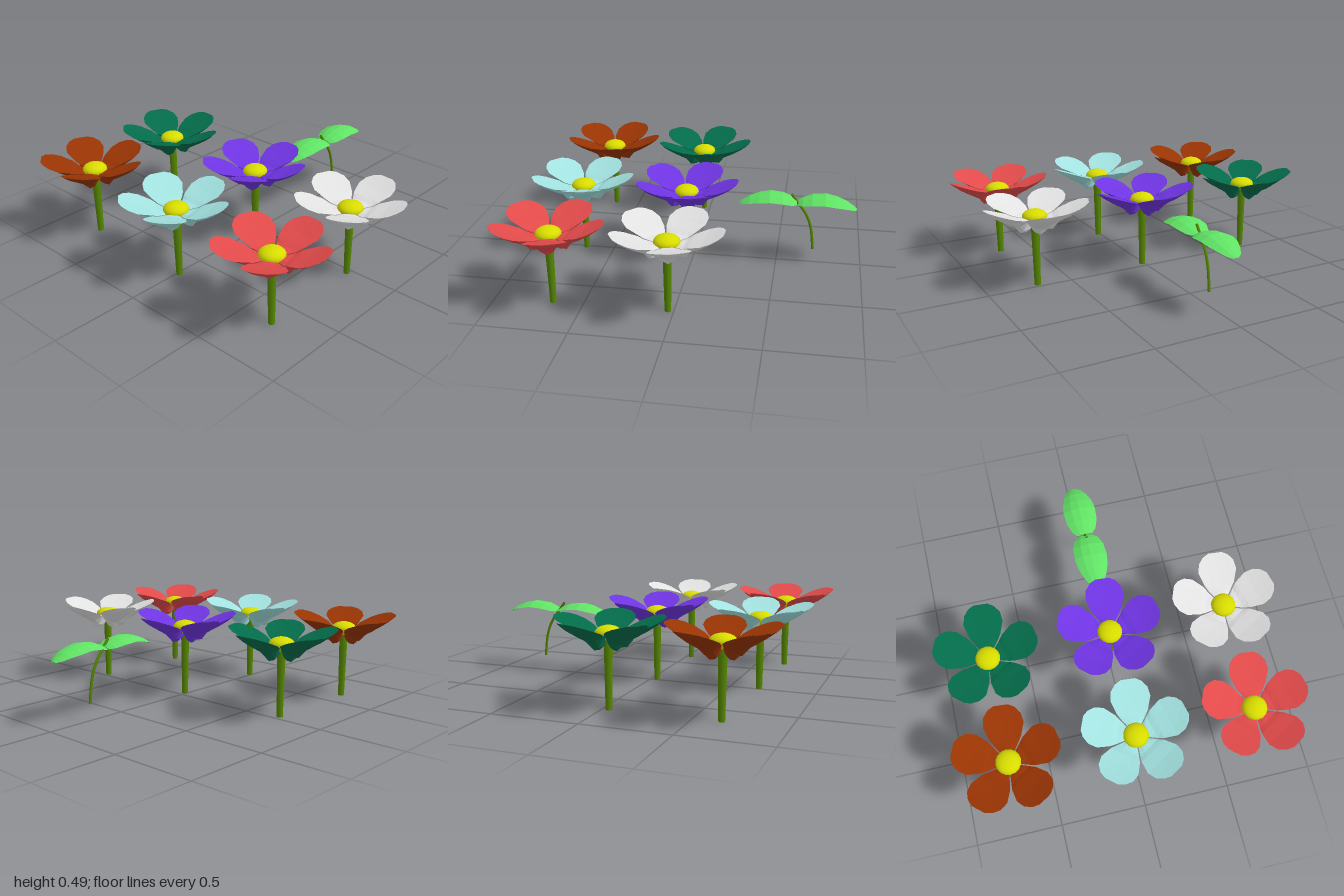
import * as THREE from 'three';

const mat = (name, color, extra = {}) => {
  const m = new THREE.MeshStandardMaterial({ color, ...extra });
  m.name = name;
  return m;
};

// Closed low-poly blade along +x. Stations: [distance, half width, underside y, edge lift, thickness]
function bladeGeometry(stations) {
  const us = [-1, -0.5, 0, 0.5, 1];
  const rings = stations.map(([r, half, y, lift, t]) => {
    const at = (u, thick) => new THREE.Vector3(r, y + lift * u * u + thick * (1 - u * u), u * half);
    return [...us.map((u) => at(u, t)), ...[0.5, 0, -0.5].map((u) => at(u, 0))];
  });
  const n = rings[0].length;
  const pts = [];
  for (let i = 0; i < rings.length - 1; i++) {
    const a = rings[i], b = rings[i + 1];
    for (let j = 0; j < n; j++) {
      const k = (j + 1) % n;
      pts.push(a[j], a[k], b[j], a[k], b[k], b[j]);
    }
  }
  const first = rings[0], last = rings[rings.length - 1];
  for (let j = 1; j < n - 1; j++) {
    pts.push(first[0], first[j + 1], first[j]);
    pts.push(last[0], last[j], last[j + 1]);
  }
  const geo = new THREE.BufferGeometry().setFromPoints(pts);
  geo.computeVertexNormals();
  return geo;
}

function add(parent, name, geometry, material) {
  const mesh = new THREE.Mesh(geometry, material);
  mesh.name = name;
  parent.add(mesh);
  return mesh;
}

export function createModel() {
  const model = new THREE.Group();
  model.name = 'flowerSet';

  const stemMat = mat('stemGreen', 0x558600, { side: THREE.DoubleSide });
  const centreMat = mat('pollenYellow', 0xd8dc00);
  const leafMat = mat('leafGreen', 0x60e264, { flatShading: true });

  // Thick hull-like base flaring into a thin, gently rising blade
  const petalGeo = bladeGeometry([
    [0.02, 0.013, 0.35, 0.05, 0.05],
    [0.06, 0.04, 0.331, 0.072, 0.08],
    [0.1, 0.068, 0.333, 0.08, 0.083],
    [0.13, 0.088, 0.372, 0.058, 0.056],
    [0.2, 0.113, 0.412, 0.043, 0.038],
    [0.25, 0.104, 0.443, 0.031, 0.027],
    [0.285, 0.075, 0.47, 0.017, 0.015],
    [0.303, 0.04, 0.489, 0.004, 0.004],
  ]);
  const centreGeo = new THREE.SphereGeometry(0.072, 16, 10);
  centreGeo.scale(1, 0.56, 1);
  const stemGeo = new THREE.CylinderGeometry(0.025, 0.018, 0.4, 10);

  // Six flowers, each with five petals
  const flowers = [
    ['green', 0x046c4a, -0.707, 0.039],
    ['purple', 0x6f34e2, 0.012, 0.041],
    ['white', 0xe2e2e2, 0.698, 0.032],
    ['brown', 0x993404, -0.707, 0.655],
    ['paleBlue', 0xa2e2e0, 0.012, 0.67],
    ['red', 0xe24a4a, 0.698, 0.67],
  ];
  for (const [name, color, x, z] of flowers) {
    const flower = new THREE.Group();
    flower.name = name + 'Flower';
    flower.position.set(x, 0, z);
    const petalMat = mat(name + 'Petal', color, { flatShading: true });
    for (let i = 0; i < 5; i++) {
      const petal = add(flower, 'petal', petalGeo, petalMat);
      petal.rotation.y = THREE.MathUtils.degToRad(85.5 + i * 72);
    }
    add(flower, 'flowerCentre', centreGeo, centreMat).position.y = 0.412;
    add(flower, 'stem', stemGeo, stemMat).position.y = 0.2;
    model.add(flower);
  }

  // Sprout: curved stalk with two arched leaves
  const sprout = new THREE.Group();
  sprout.name = 'sprout';
  sprout.position.set(0.012, 0, -0.613);
  const stalk = new THREE.CatmullRomCurve3([
    [0.434, 0.036], [0.393, 0.005], [0.306, -0.056], [0.224, -0.085], [0.092, -0.102],
  ].map(([y, z]) => new THREE.Vector3(0, y, z)));
  add(sprout, 'stalk', new THREE.TubeGeometry(stalk, 14, 0.008, 8), stemMat);

  const leafGeo = bladeGeometry([
    [0.004, 0.045, 0.39, -0.006, 0.006],
    [0.03, 0.072, 0.404, -0.014, 0.008],
    [0.085, 0.093, 0.424, -0.02, 0.008],
    [0.16, 0.097, 0.432, -0.022, 0.008],
    [0.22, 0.09, 0.42, -0.02, 0.008],
    [0.28, 0.067, 0.399, -0.014, 0.007],
    [0.32, 0.042, 0.376, -0.006, 0.005],
    [0.34, 0.016, 0.364, -0.002, 0.003],
  ]);
  for (const side of [1, -1]) {
    add(sprout, side > 0 ? 'backLeaf' : 'frontLeaf', leafGeo, leafMat).rotation.y = side * Math.PI / 2;
  }
  model.add(sprout);

  return model;
}
